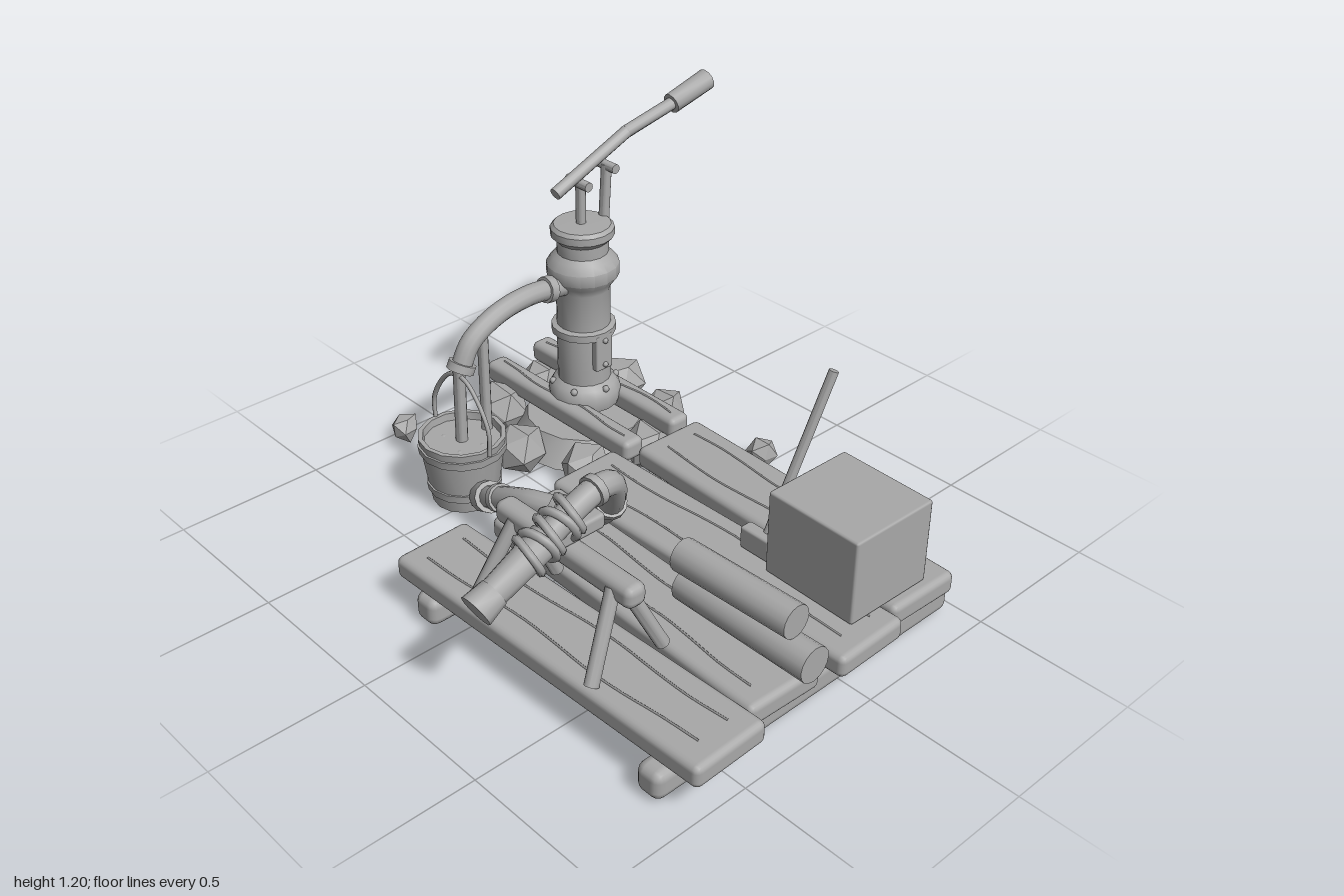
import * as THREE from 'three';
import { toCreasedNormals } from 'three/addons/utils/BufferGeometryUtils.js';
import { RoundedBoxGeometry } from 'three/addons/geometries/RoundedBoxGeometry.js';

const V = (a) => new THREE.Vector3(...a);

export function createModel() {
  const model = new THREE.Group();
  model.name = 'waterPump';
  const grey = new THREE.MeshStandardMaterial({ color: 0xa8a8a8 });
  grey.name = 'plain grey';

  const add = (name, geo, pos = [0, 0, 0], parent = model) => {
    const mesh = new THREE.Mesh(geo, grey);
    mesh.name = name;
    mesh.position.set(...pos);
    parent.add(mesh);
    return mesh;
  };
  const crease = (geo) => toCreasedNormals(geo, 0.7);
  // Cylinder running from point a to point b
  const rod = (name, a, b, r0, r1 = r0, sides = 12) => {
    const p = V(a), d = V(b).sub(p);
    const mesh = add(name, crease(new THREE.CylinderGeometry(r1, r0, d.length(), sides)));
    mesh.position.copy(p).addScaledVector(d, 0.5);
    mesh.quaternion.setFromUnitVectors(new THREE.Vector3(0, 1, 0), d.normalize());
    return mesh;
  };
  const tube = (name, curve, r, steps, sides, parent) =>
    add(name, new THREE.TubeGeometry(curve, steps, r, sides), [0, 0, 0], parent);
  const path = (pts) => new THREE.CatmullRomCurve3(pts.map(V));
  const lathe = (name, pts, pos, sides) =>
    add(name, crease(new THREE.LatheGeometry(pts.map((p) => new THREE.Vector2(...p)), sides)), pos);
  // Ring around a curve at parameter t
  const collar = (name, curve, t, r, half) => {
    const c = curve.getPointAt(t), d = curve.getTangentAt(t).multiplyScalar(half);
    return rod(name, c.clone().sub(d).toArray(), c.clone().add(d).toArray(), r);
  };
  // Timber with rounded edges and wavy grain lines on top
  const timber = (name, pos, size, turn, grain) => {
    const group = new THREE.Group();
    group.name = name;
    group.position.set(...pos);
    group.rotation.y = turn;
    add(name + 'Body', new RoundedBoxGeometry(...size, 2, Math.min(0.022, size[1] * 0.3)), [0, 0, 0], group);
    grain.forEach((gz, i) => {
      const pts = [];
      for (let k = 0; k <= 8; k++)
        pts.push([(k / 8 - 0.5) * size[0] * 0.88, size[1] / 2, gz + 0.009 * Math.sin(k * 1.3 + i * 2 + pos[2] * 9)]);
      tube('woodGrain', path(pts), 0.004, 24, 4, group);
    });
    model.add(group);
  };

  // Deck: four skewed planks on two sleepers
  [
    [0.38, -0.32, 1.10, -0.027],
    [0.375, -0.022, 1.19, 0.02],
    [0.378, 0.272, 1.13, -0.033],
    [0.383, 0.567, 1.23, 0.028],
  ].forEach(([x, z, w, turn]) => timber('deckPlank', [x, 0.143, z], [w, 0.075, 0.265], turn, [-0.06, 0.06]));
  for (const x of [-0.097, 0.853])
    add('sleeper', new RoundedBoxGeometry(0.092, 0.095, 1.19, 2, 0.03), [x, 0.055, 0.125]);

  // Stone mound, its centre pipe and the two beams under the pump
  const px = -0.538, pz = -0.3;
  add('stoneMound', crease(new THREE.CylinderGeometry(0.2, 0.255, 0.09, 14)), [px, 0.07, pz]);
  add('wellPipe', crease(new THREE.CylinderGeometry(0.03, 0.03, 0.12, 12)), [px, 0.075, pz]);
  for (const z of [-0.405, -0.2])
    timber('pumpBeam', [-0.538, 0.168, z], [0.725, 0.075, 0.082], 0, [0]);

  // Rough stones
  let seed = 7;
  const rnd = () => (seed = (seed * 16807) % 2147483647) / 2147483647;
  [
    [-0.65, 0.075, -0.565, 0.09], [-0.41, 0.065, -0.555, 0.08], [-0.84, 0.065, -0.36, 0.08],
    [-0.765, 0.085, -0.12, 0.095], [-0.55, 0.07, -0.02, 0.095], [-0.33, 0.065, -0.115, 0.085],
    [-0.27, 0.07, -0.355, 0.09], [-0.945, 0.055, 0.17, 0.052], [0, 0.055, -0.615, 0.052],
  ].forEach(([x, y, z, r]) => {
    const geo = new THREE.IcosahedronGeometry(r, 0);
    const p = geo.attributes.position, moved = {};
    for (let i = 0; i < p.count; i++) {
      const v = new THREE.Vector3().fromBufferAttribute(p, i);
      const key = v.toArray().map((n) => Math.round(n * 1000)).join();
      moved[key] ??= 0.85 + 0.3 * rnd();
      v.multiplyScalar(moved[key]);
      p.setXYZ(i, v.x, Math.max(v.y, -y), v.z);
    }
    geo.computeVertexNormals();
    add('stone', geo, [x, y, z]);
  });

  // Pump body
  lathe('pumpBody', [
    [0, 0.17], [0.118, 0.17], [0.122, 0.185], [0.122, 0.22], [0.108, 0.245], [0.09, 0.26],
    [0.09, 0.43], [0.108, 0.435], [0.108, 0.46], [0.09, 0.465], [0.09, 0.595], [0.1, 0.62],
    [0.12, 0.645], [0.12, 0.685], [0.1, 0.71], [0.085, 0.725], [0.085, 0.765], [0.105, 0.785],
    [0.105, 0.81], [0.094, 0.822], [0, 0.826],
  ], [px, 0, pz], 16);
  add('sidePlate', new RoundedBoxGeometry(0.03, 0.13, 0.07, 1, 0.006), [px + 0.09, 0.385, pz]);
  for (const y of [0.34, 0.43])
    add('plateBolt', new THREE.SphereGeometry(0.01, 8, 6), [px + 0.107, y, pz]);
  for (let i = 0; i < 6; i++) {
    const a = (i / 6) * Math.PI * 2;
    add('baseBolt', new THREE.SphereGeometry(0.012, 8, 6), [px + 0.108 * Math.cos(a), 0.245, pz + 0.108 * Math.sin(a)]);
  }

  // Piston rod, pivot post and handle
  rod('pistonRod', [px, 0.81, -0.295], [px, 0.965, -0.295], 0.017);
  rod('pivotPost', [px, 0.79, -0.392], [px, 0.995, -0.406], 0.018);
  rod('pistonPin', [px - 0.05, 0.965, -0.287], [px + 0.05, 0.965, -0.287], 0.016);
  rod('pivotPin', [px - 0.045, 0.99, -0.406], [px + 0.045, 0.99, -0.406], 0.016);
  const handle = [[px, 0.955, -0.19], [px, 1.08, -0.49], [px, 1.122, -0.69], [px, 1.165, -0.85]];
  rod('handleArm', handle[0], handle[1], 0.021);
  rod('handleArm', handle[1], handle[2], 0.021);
  add('handleElbow', new THREE.SphereGeometry(0.021, 12, 8), handle[1]);
  rod('handleGrip', handle[2], handle[3], 0.034, 0.036);

  // Spout
  const spout = path([[px, 0.625, -0.22], [px, 0.64, -0.06], [px, 0.617, 0.07], [px, 0.56, 0.17], [px, 0.48, 0.215]]);
  tube('spout', spout, 0.034, 24, 12);
  collar('spoutLip', spout, 0.98, 0.046, 0.014);
  collar('spoutCollar', spout, 0.14, 0.044, 0.015);

  // Bucket with bands, water and bail
  const bx = -0.535, bz = 0.225;
  lathe('bucket', [[0, 0.012], [0.107, 0.012], [0.143, 0.25], [0.128, 0.25], [0.124, 0.21], [0, 0.21]], [bx, 0, bz], 14);
  for (const [y, r] of [[0.075, 0.122], [0.215, 0.144]])
    add('bucketBand', crease(new THREE.CylinderGeometry(r + 0.002, r - 0.002, 0.028, 14, 1)), [bx, y - 0.005, bz]);
  const bail = path([[-0.675, 0.23, bz], [-0.672, 0.33, bz], [-0.575, 0.455, bz],
    [-0.495, 0.455, bz], [-0.398, 0.33, bz], [-0.395, 0.23, bz]]);
  tube('bucketBail', bail, 0.008, 32, 6);
  rod('waterStream', [px, 0.2, 0.225], [px, 0.485, 0.22], 0.02);
  rod('dipperPole', [px, 0.2, 0.122], [px, 0.57, 0.122], 0.018);
  for (const [x, z] of [[-0.06, 0.03], [0.05, 0.05], [0.065, -0.03]])
    add('waterBubble', new THREE.SphereGeometry(0.014, 8, 6), [bx + x, 0.212, bz + z]);

  // Hose from bucket to nozzle
  const hose = path([
    [-0.42, 0.07, 0.24], [-0.3, 0.145, 0.28], [-0.13, 0.22, 0.282], [0, 0.24, 0.252],
    [0.1, 0.275, 0.247], [0.2, 0.355, 0.268], [0.275, 0.46, 0.305], [0.33, 0.56, 0.365],
    [0.345, 0.58, 0.43], [0.345, 0.545, 0.53], [0.345, 0.5, 0.62],
  ]);
  tube('hose', hose, 0.038, 72, 12);
  collar('hoseInlet', hose, 0.05, 0.052, 0.04);
  for (const t of [0.14, 0.36, 0.46, 0.62, 0.84]) collar('hoseCollar', hose, t, 0.047, 0.012);

  // Nozzle lashed with rope
  rod('nozzle', [0.345, 0.505, 0.61], [0.345, 0.415, 0.8], 0.05, 0.042);
  rod('nozzleTip', [0.345, 0.42, 0.79], [0.345, 0.39, 0.853], 0.045, 0.053);
  const aim = V([0, -0.09, 0.19]).normalize();
  [0, 0.04, 0.08, 0.12, 0.16].forEach((d, i) => {
    const ring = add('ropeWrap', new THREE.TorusGeometry(0.056, 0.013, 6, 16));
    ring.position.set(0.345, 0.545, 0.525).addScaledVector(aim, d);
    ring.quaternion.setFromUnitVectors(new THREE.Vector3(0, 0, 1), aim);
    ring.rotateY(i % 2 ? 0.2 : -0.2);
  });

  // Trestle
  add('trestleBar', new RoundedBoxGeometry(0.565, 0.072, 0.072, 2, 0.026), [0.347, 0.428, 0.535]);
  add('trestleCradle', new RoundedBoxGeometry(0.06, 0.05, 0.17, 1, 0.012), [0.345, 0.487, 0.505]);
  for (const [x, top] of [[0.12, 0.145], [0.59, 0.55]])
    for (const s of [-1, 1])
      rod('trestleLeg', [x + (x < 0.3 ? -0.025 * s : 0), 0.185, 0.54 + 0.13 * s], [top, 0.43, 0.54 + 0.015 * s], 0.022);

  // Crate, leaning mop and stacked pipes
  const crate = add('crate', new RoundedBoxGeometry(0.335, 0.28, 0.315, 1, 0.008), [0.727, 0.322, -0.185]);
  crate.rotation.y = -0.02;
  rod('mopHandle', [0.5, 0.22, -0.085], [0.543, 0.745, -0.295], 0.015);
  add('mopHead', new RoundedBoxGeometry(0.115, 0.075, 0.045, 1, 0.008), [0.485, 0.222, -0.08]);
  rod('lowerPipe', [0.485, 0.233, 0.225], [0.97, 0.233, 0.217], 0.052, 0.056, 16);
  rod('upperPipe', [0.485, 0.338, 0.235], [0.9, 0.338, 0.22], 0.052, 0.052, 16);

  return model;
}
